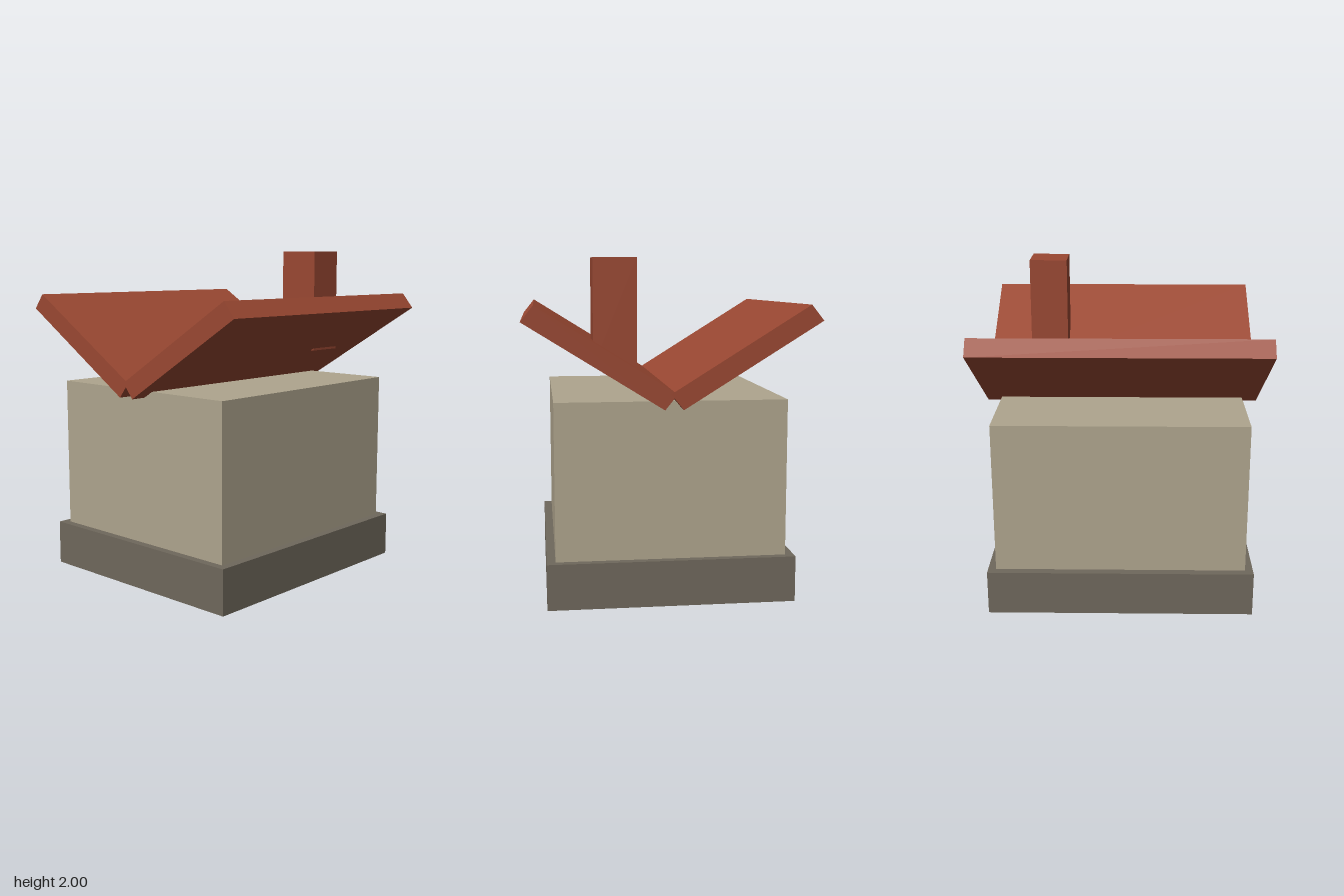
import * as THREE from 'three';

const material = (name, color) => {
  const m = new THREE.MeshStandardMaterial({ color });
  m.name = name;
  return m;
};

export function createModel() {
  const stone = material('dark stone', 0x6f685c);
  const plaster = material('plaster', 0xafa58e);
  const brick = material('red brick', 0x9a4832);
  const group = new THREE.Group();
  group.name = 'house';

  const add = (name, geometry, mat) => {
    const mesh = new THREE.Mesh(geometry, mat);
    mesh.name = name;
    group.add(mesh);
    return mesh;
  };

  // Box given by its centre, footprint and vertical range
  const block = (name, mat, w, d, y0, y1, x = 0, z = 0) =>
    add(name, new THREE.BoxGeometry(w, y1 - y0, d), mat).position.set(x, (y0 + y1) / 2, z);

  block('foundation', stone, 1.604, 1.446, 0, 0.27);
  block('walls', plaster, 1.508, 1.344, 0.27, 1.19);
  block('chimney', brick, 0.235, 0.254, 1.375, 2, 0.47, 0.31);

  // Slanted roof slabs rising outwards from the centre valley, profile in (z, y)
  const profile = [[0.053, 1.15], [0.847, 1.644], [0.775, 1.734], [-0.019, 1.24]];
  const width = 1.7;
  for (const [name, side] of [['frontRoofSlab', 1], ['backRoofSlab', -1]]) {
    const shape = new THREE.Shape(profile.map(([z, y]) => new THREE.Vector2(side * z, y)));
    const geometry = new THREE.ExtrudeGeometry(shape, { depth: width, bevelEnabled: false });
    geometry.translate(0, 0, -width / 2).rotateY(-Math.PI / 2);
    add(name, geometry, brick);
  }
  return group;
}
